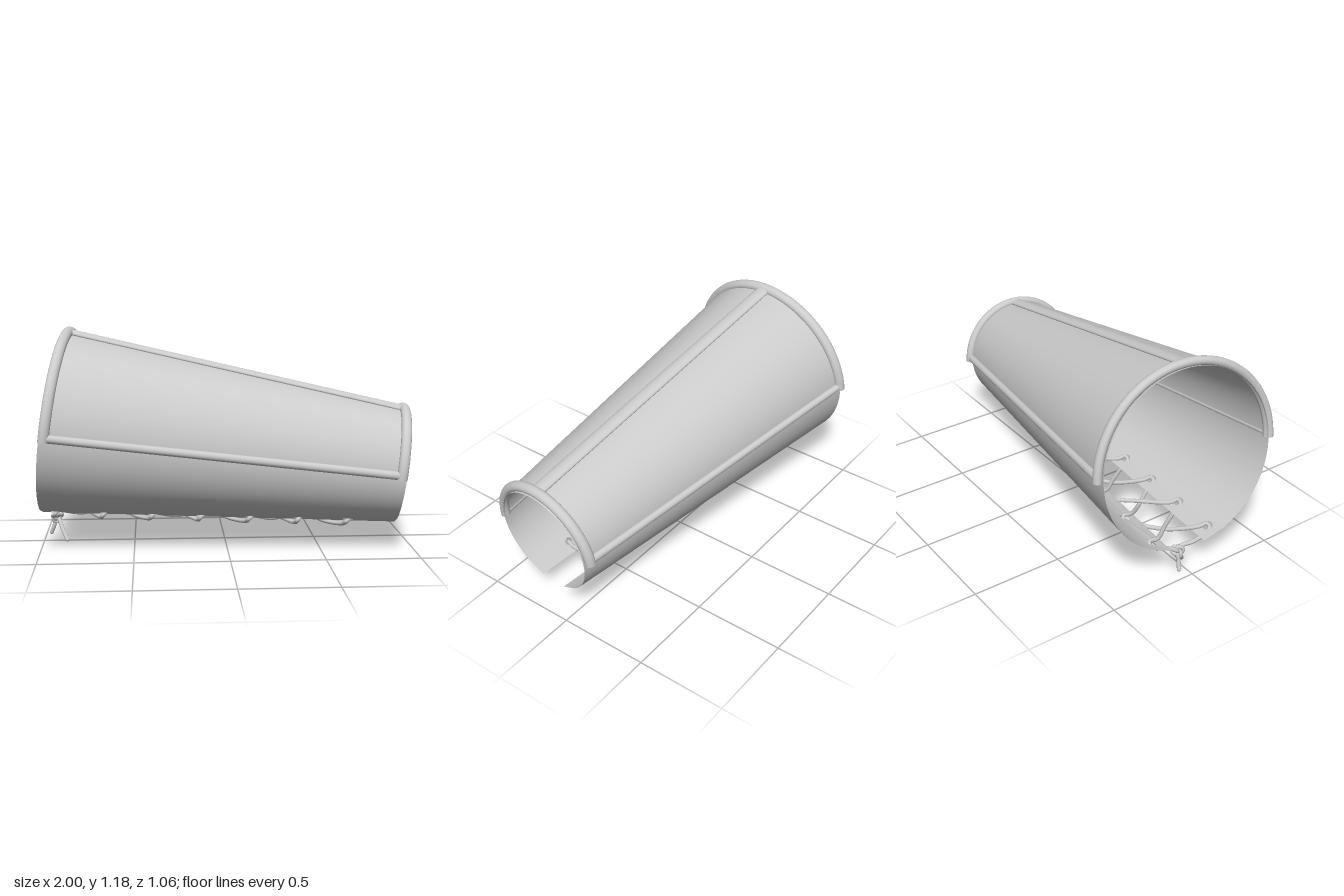
import * as THREE from 'three';

const V = (x, y, z) => new THREE.Vector3(x, y, z);

// Tapered sleeve frame: axis from the wide end to the narrow end, slightly rolled
const WIDE = V(-0.93, 0.66, 0), NARROW = V(0.95, 0.427, 0.17);
const LENGTH = WIDE.distanceTo(NARROW);
const AXIS = NARROW.clone().sub(WIDE).normalize();
const UP = V(0, 1, 0).addScaledVector(AXIS, -AXIS.y).normalize().applyAxisAngle(AXIS, 0.045);
const SIDE = new THREE.Vector3().crossVectors(AXIS, UP);
const radius = (t) => 0.49 - 0.19 * t;

// Point at t along the sleeve, angle phi from the top, height off above the leather
function onSleeve(t, phi, off = 0) {
  const r = radius(t) + off;
  return WIDE.clone().lerp(NARROW, t)
    .addScaledVector(UP, r * Math.cos(phi)).addScaledVector(SIDE, r * Math.sin(phi));
}
// Point measured sideways (a) from the middle of the laced gap
const nearGap = (a, t, off = 0) => onSleeve(t, Math.PI - a * (1 - 0.2 * t) / radius(t), off);

const grey = new THREE.MeshStandardMaterial({ color: 0xcccccc, side: THREE.DoubleSide });

function bend(geo, rule) {
  const p = geo.attributes.position;
  for (let i = 0; i < p.count; i++) {
    const q = rule(p.getX(i), p.getY(i), p.getZ(i));
    p.setXYZ(i, q.x, q.y, q.z);
  }
  geo.computeVertexNormals();
  return geo;
}

const STRIP_IN = 0.1, STRIP_OUT = 0.23, HOLE_AT = 0.18;
const holeT = (i) => 0.042 + i * 0.137;
const HOLES = 7;

export function createModel() {
  const model = new THREE.Group();
  const add = (name, geo, parent = model) => {
    const m = new THREE.Mesh(geo, grey);
    m.name = name;
    parent.add(m);
    return m;
  };

  // Leather sleeve
  add('sleeve', bend(new THREE.PlaneGeometry(2, 1, 64, 12), (x, y) => {
    const t = y + 0.5;
    return onSleeve(t, x * (Math.PI - STRIP_OUT * (1 - 0.2 * t) / radius(t)));
  }));

  // Perforated strips beside the gap
  for (const s of [1, -1]) {
    const shape = new THREE.Shape();
    const x0 = Math.min(s * STRIP_IN, s * STRIP_OUT), x1 = Math.max(s * STRIP_IN, s * STRIP_OUT);
    shape.moveTo(x0, 0).lineTo(x1, 0).lineTo(x1, LENGTH).lineTo(x0, LENGTH).closePath();
    for (let i = 0; i < HOLES; i++) {
      const hole = new THREE.Path();
      hole.absarc(s * HOLE_AT, holeT(i) * LENGTH, 0.029, 0, Math.PI * 2, true);
      shape.holes.push(hole);
    }
    add(s > 0 ? 'leftEyeletStrip' : 'rightEyeletStrip',
      bend(new THREE.ShapeGeometry(shape, 12), (x, y) => nearGap(-x, y / LENGTH)));
  }

  // Upper guard plate
  add('guardPlate', bend(new THREE.PlaneGeometry(Math.PI - 0.02, 1, 48, 12),
    (x, y) => onSleeve(y * 0.99 + 0.5, x, 0.013)));

  // Half-ring rims at both ends
  for (const [name, t] of [['wideRim', 0.015], ['narrowRim', 0.985]]) {
    add(name, bend(new THREE.CylinderGeometry(1, 1, Math.PI, 18, 48),
      (x, y, z) => onSleeve(t + x * 0.028 / LENGTH, y, 0.02 - z * 0.025)));
  }

  // Lengthwise beads: top ridge and the two lower borders
  const bead = (name, phiAt, halfWidth, halfHeight, off) =>
    add(name, bend(new THREE.CylinderGeometry(1, 1, 0.985, 18, 10), (x, y, z) => {
      const t = y + 0.5;
      return onSleeve(t, phiAt(t) - x * halfWidth / radius(t), off - z * halfHeight);
    }));
  bead('topRidge', () => 0, 0.04, 0.018, 0.018);
  bead('leftBorder', (t) => Math.PI / 2 - 0.02 / radius(t), 0.021, 0.021, 0.018);
  bead('rightBorder', (t) => -Math.PI / 2 + 0.02 / radius(t), 0.021, 0.021, 0.018);

  // Criss-cross lacing: two cords from the narrow end, tied at the wide end
  const lacing = new THREE.Group();
  lacing.name = 'lacing';
  model.add(lacing);
  const CORD = 0.0115, knotAt = V(-0.93, 0.125, -0.045);
  const tails = { 1: V(-0.965, 0.035, -0.06), [-1]: V(-0.872, 0.013, 0.033) };
  for (const s of [1, -1]) {
    const pts = [nearGap(0, holeT(HOLES - 1), -0.012)];
    for (let i = HOLES - 1; i >= 0; i--) {
      const h = (i % 2 ? -1 : 1) * s, t = holeT(i);
      pts.push(nearGap(h * 0.135, t + 0.008, -0.014), nearGap(h * 0.185, t + 0.004, -0.006),
        nearGap(h * 0.185, t - 0.004, 0.013), nearGap(h * 0.14, t - 0.01, 0.018));
      if (i) pts.push(nearGap(0, t - 0.0685, s * 0.012));
    }
    pts.push(nearGap(s * 0.07, 0.03, 0.022), knotAt.clone().add(V(0.01 * s, 0.012, 0.012 * s)),
      knotAt.clone().add(V(-0.01 * s, -0.012, -0.008 * s)),
      knotAt.clone().lerp(tails[s], 0.5), tails[s]);
    const curve = new THREE.CatmullRomCurve3(pts);
    add('cord', new THREE.TubeGeometry(curve, 320, CORD, 8), lacing);
    add('cordTip', new THREE.SphereGeometry(CORD, 8, 6), lacing).position.copy(tails[s]);
  }
  const knot = add('knot', new THREE.TorusKnotGeometry(0.02, 0.01, 64, 8, 2, 3), lacing);
  knot.position.copy(knotAt);
  knot.rotation.set(0.4, 0.6, 0);

  return model;
}
